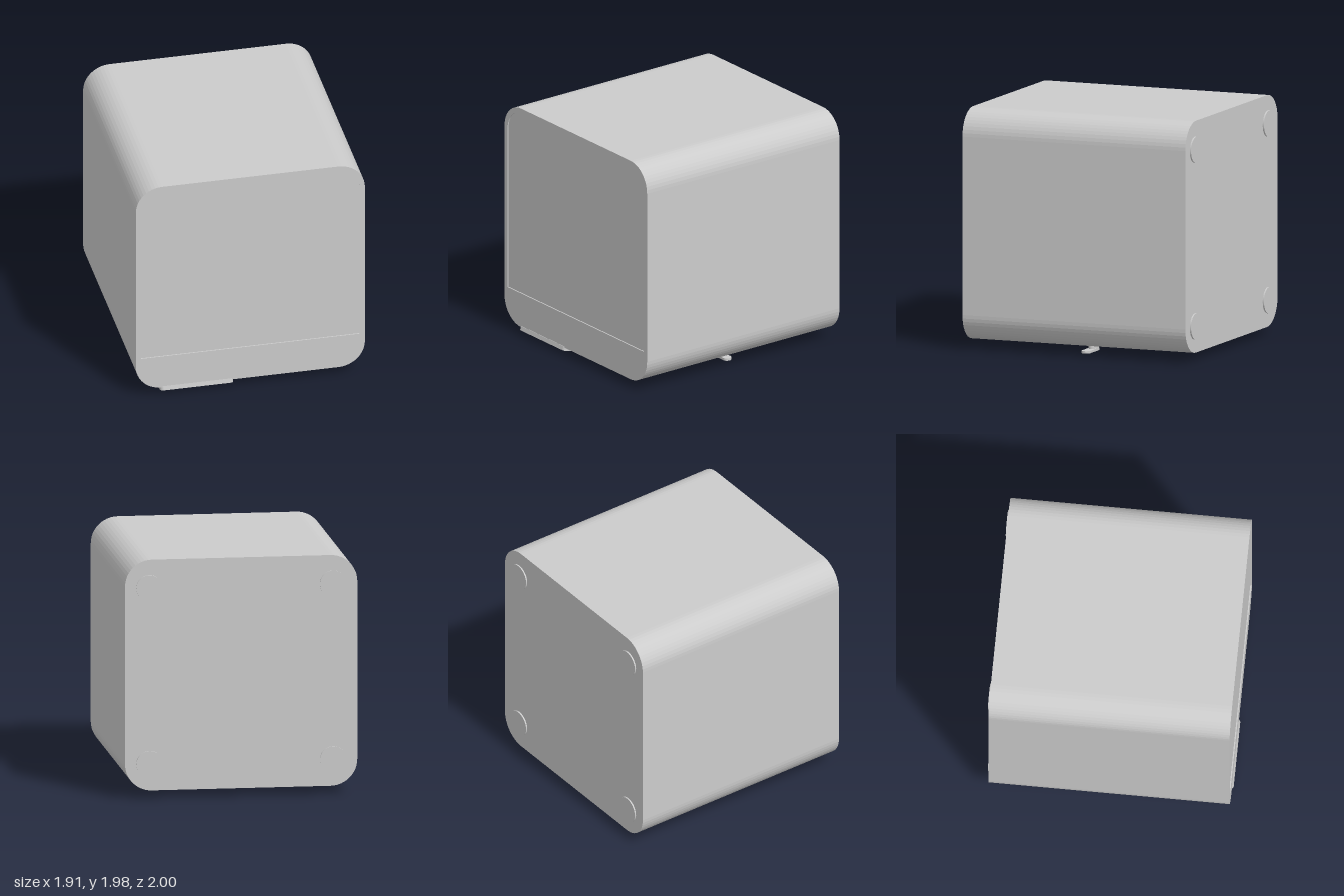
import * as THREE from 'three';

const material = new THREE.MeshStandardMaterial({ color: 0xcccccc });

// Rounded rectangle outline with separate radii for top and bottom corners
function roundedRect(Path, x0, y0, x1, y1, rTop, rBottom = rTop) {
  const p = new Path();
  const H = Math.PI / 2;
  p.moveTo(x0 + rBottom, y0);
  p.lineTo(x1 - rBottom, y0);
  if (rBottom) p.absarc(x1 - rBottom, y0 + rBottom, rBottom, -H, 0);
  p.lineTo(x1, y1 - rTop);
  p.absarc(x1 - rTop, y1 - rTop, rTop, 0, H);
  p.lineTo(x0 + rTop, y1);
  p.absarc(x0 + rTop, y1 - rTop, rTop, H, 2 * H);
  p.lineTo(x0, y0 + rBottom);
  if (rBottom) p.absarc(x0 + rBottom, y0 + rBottom, rBottom, 2 * H, 3 * H);
  return p;
}

function extrude(shape, depth, curveSegments = 6) {
  return new THREE.ExtrudeGeometry(shape, { depth, curveSegments, bevelEnabled: false });
}

function add(parent, name, geometry, x = 0, y = 0, z = 0) {
  const mesh = new THREE.Mesh(geometry, material);
  mesh.name = name;
  mesh.position.set(x, y, z);
  parent.add(mesh);
  return mesh;
}

export function createModel() {
  const model = new THREE.Group();
  model.name = 'cubeDisplay';
  const zBack = -0.988, zFront = 0.985, recess = 0.01;
  const outline = () => roundedRect(THREE.Shape, -0.955, 0.07, 0.955, 1.98, 0.22);

  // Main casing; its front cap is the floor of the screen recess
  add(model, 'casing', extrude(outline(), zFront - recess - zBack), 0, 0, zBack);

  // Thin front bezel around the recessed screen
  const bezel = outline();
  bezel.holes.push(roundedRect(THREE.Path, -0.912, 0.365, 0.912, 1.937, 0.18, 0));
  add(model, 'frontBezel', extrude(bezel, recess), 0, 0, zFront - recess);

  // Four round pads on the back
  for (const x of [-0.755, 0.755]) {
    for (const y of [0.29, 1.745]) {
      const pad = new THREE.CylinderGeometry(0.108, 0.108, 0.02, 32).rotateX(Math.PI / 2);
      add(model, 'backPad', pad, x, y, -0.99);
    }
  }

  // Access panel on the underside
  add(model, 'bottomPanel', new THREE.BoxGeometry(1.34, 0.01, 1.54), 0, 0.071, -0.07);

  // Tilted control bar under the front edge
  const bar = new THREE.Group();
  bar.name = 'controlBar';
  bar.position.set(-0.445, 0.047, 0.915);
  bar.rotation.x = -0.22;
  model.add(bar);
  const barShape = roundedRect(THREE.Shape, -0.305, -0.08, 0.305, 0.08, 0.03);
  add(bar, 'barBody', extrude(barShape, 0.036).rotateX(-Math.PI / 2), 0, -0.018, 0);
  add(bar, 'barButton', new THREE.CylinderGeometry(0.05, 0.05, 0.006, 24), 0.17, -0.018, 0);

  // Small latch under the casing: mount plate, stem and lever
  const latch = new THREE.Group();
  latch.name = 'latch';
  latch.position.set(0.565, 0, -0.01);
  model.add(latch);
  add(latch, 'latchPlate', new THREE.CylinderGeometry(0.125, 0.125, 0.008, 24), 0, 0.068, 0);
  add(latch, 'latchStem', new THREE.CylinderGeometry(0.065, 0.065, 0.055, 20), 0, 0.04, 0)
    .scale.z = 0.58;
  const lever = roundedRect(THREE.Shape, -0.06, -0.037, 0.195, 0.037, 0.036);
  add(latch, 'latchLever', extrude(lever, 0.02).rotateX(-Math.PI / 2), 0, 0.005, 0);

  return model;
}
